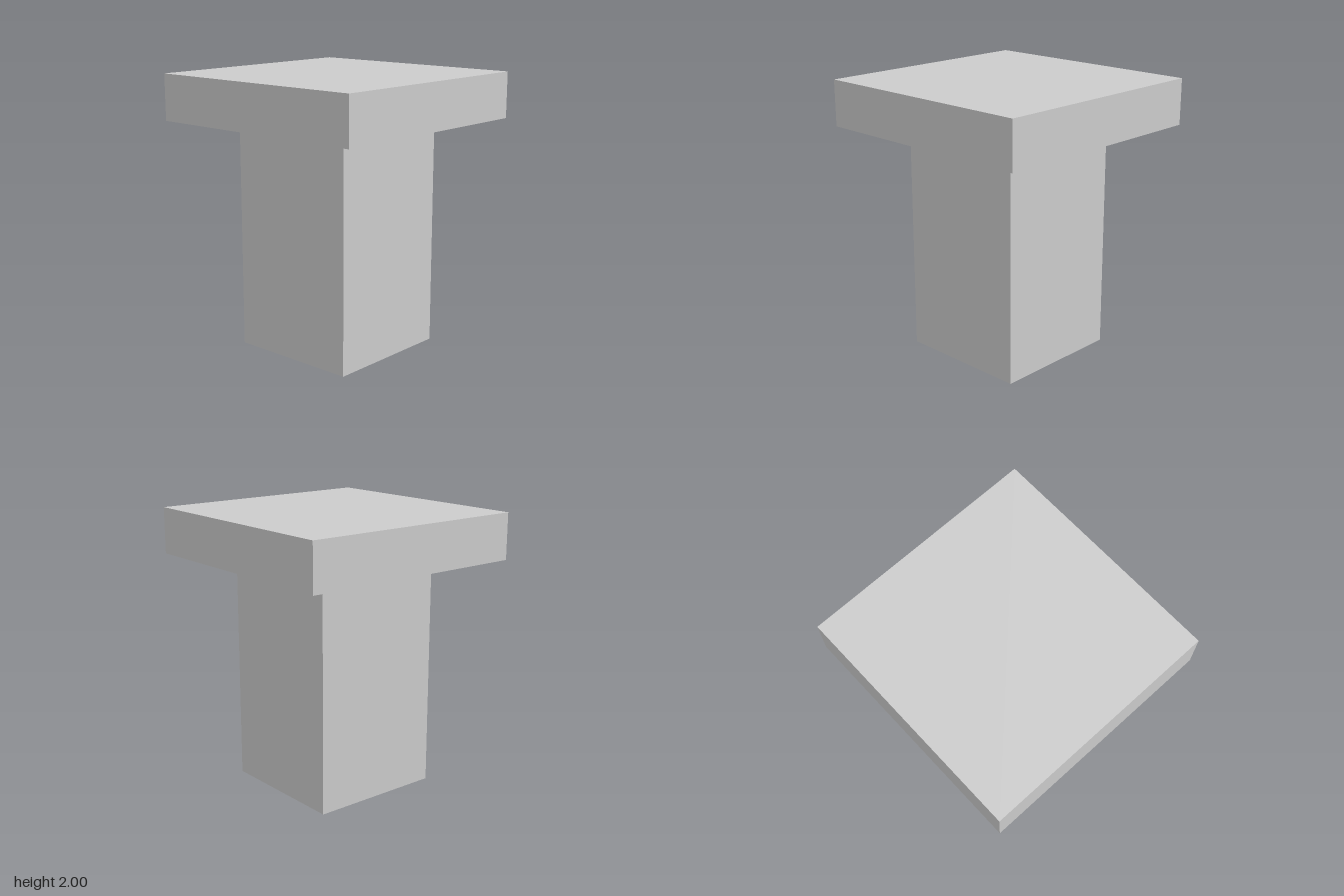
import * as THREE from 'three';

export function createModel() {
  const model = new THREE.Group();
  model.name = 'pedestal';

  const stone = new THREE.MeshStandardMaterial({ color: 0xcccccc });
  stone.name = 'light grey';

  // Square block standing on the given base height
  const addBlock = (name, width, base, top) => {
    const block = new THREE.Mesh(new THREE.BoxGeometry(width, top - base, width), stone);
    block.name = name;
    block.position.y = (base + top) / 2;
    model.add(block);
  };

  const capBase = 1.667;
  addBlock('column', 0.98, 0, capBase);
  addBlock('capSlab', 1.71, capBase, 2);

  return model;
}
